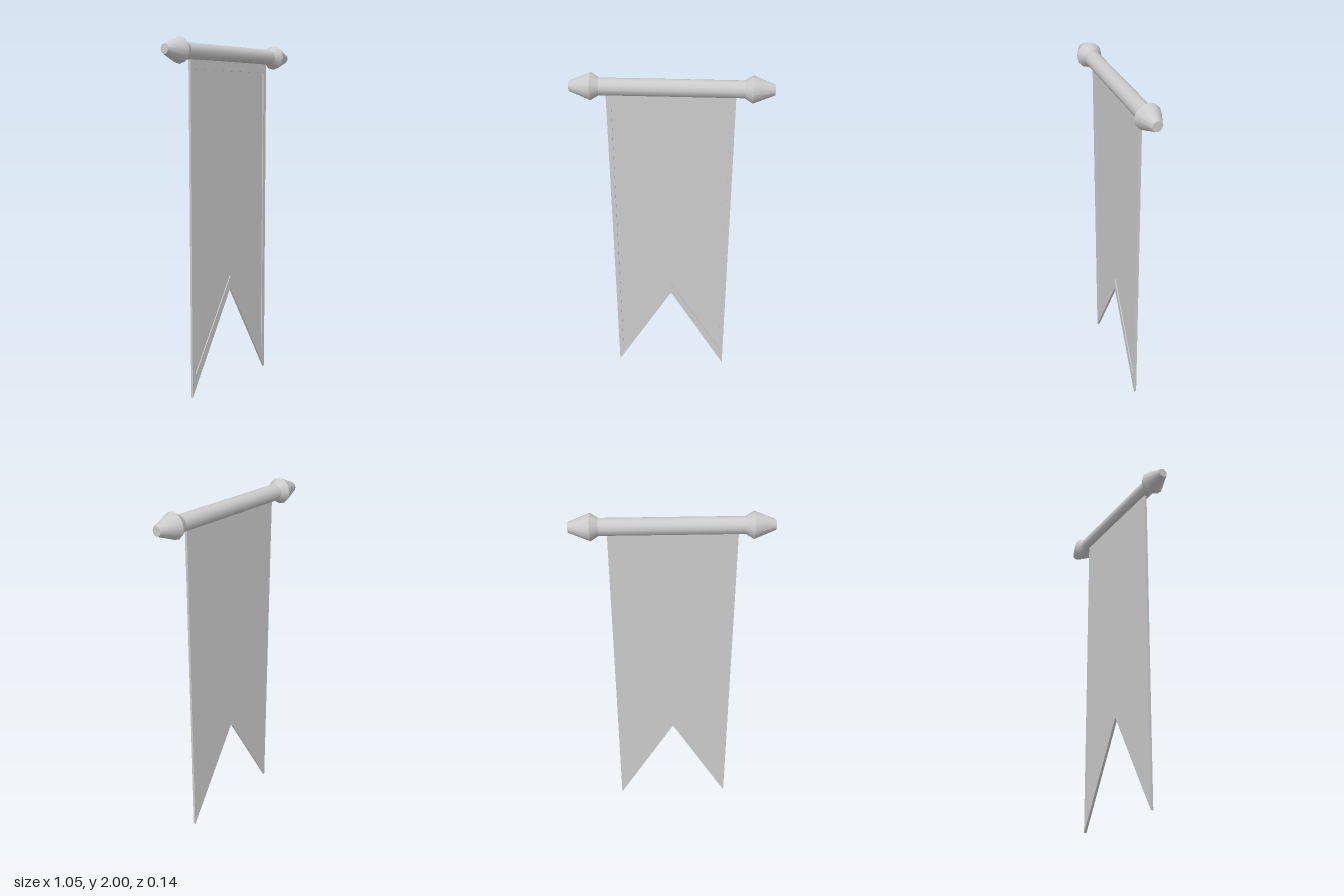
import * as THREE from 'three';

const SIDES = 12;
const ROD_Y = 1.929;

// Swallow-tailed outline: straight sides with a V notch cut from the bottom
function tailPoints(halfWidth, top, tip, notch) {
  return [
    [-halfWidth, top], [-halfWidth, tip], [0, notch], [halfWidth, tip], [halfWidth, top],
  ].map(([x, y]) => new THREE.Vector2(x, y));
}

export function createModel() {
  const model = new THREE.Group();
  const material = new THREE.MeshStandardMaterial({ color: 0xcccccc });

  const add = (parent, name, geometry) => {
    const mesh = new THREE.Mesh(geometry, material);
    mesh.name = name;
    parent.add(mesh);
    return mesh;
  };
  const extrude = (shape, depth) =>
    new THREE.ExtrudeGeometry(shape, { depth, bevelEnabled: false });

  // Cloth: a thin sheet with a raised border on its front
  const cloth = new THREE.Group();
  cloth.name = 'cloth';
  cloth.position.x = -0.004;
  const outline = tailPoints(0.336, ROD_Y, 0, 0.58);
  add(cloth, 'clothSheet', extrude(new THREE.Shape(outline), 0.009)).position.z = -0.0075;
  const border = new THREE.Shape(outline);
  border.holes.push(new THREE.Path(tailPoints(0.311, 1.835, 0.125, 0.65).reverse()));
  add(cloth, 'clothBorder', extrude(border, 0.006)).position.z = 0.0015;
  model.add(cloth);

  // Horizontal rod
  const rod = new THREE.CylinderGeometry(0.045, 0.045, 0.75, SIDES, 1, true);
  rod.rotateZ(-Math.PI / 2);
  add(model, 'rod', rod).position.y = ROD_Y;

  // Finials: a short flare, then a long taper to a blunt tip
  for (const side of [1, -1]) {
    const finial = new THREE.Group();
    finial.name = side > 0 ? 'leftFinial' : 'rightFinial';
    finial.position.y = ROD_Y;
    const flare = new THREE.CylinderGeometry(0.071, 0.045, 0.042, SIDES, 1, true);
    flare.translate(0, 0.394, 0).rotateZ(-side * Math.PI / 2);
    add(finial, 'finialFlare', flare);
    const taper = new THREE.CylinderGeometry(0.027, 0.071, 0.112, SIDES);
    taper.translate(0, 0.471, 0).rotateZ(-side * Math.PI / 2);
    add(finial, 'finialTaper', taper);
    model.add(finial);
  }

  return model;
}
